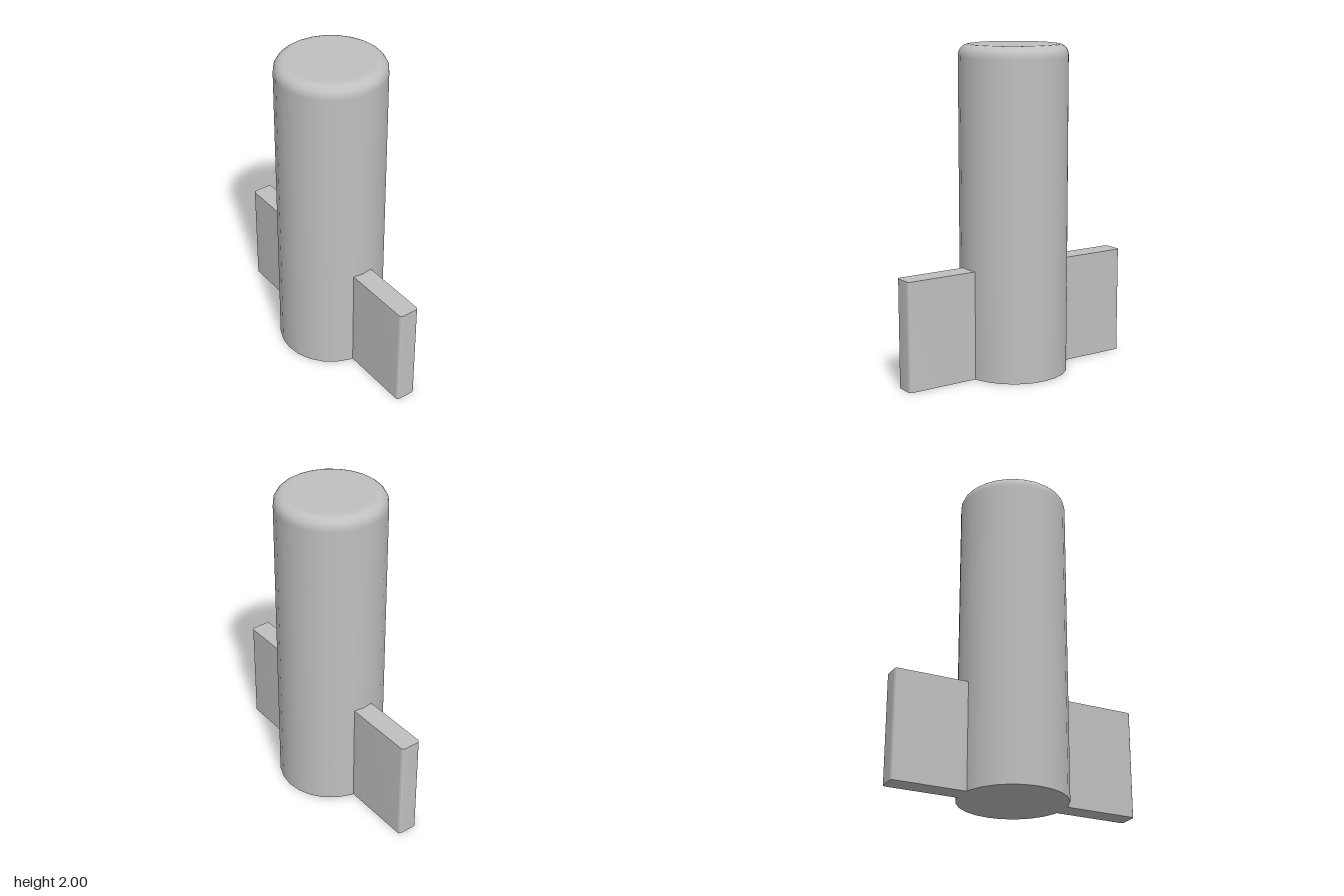
import * as THREE from 'three';
import { toCreasedNormals } from 'three/addons/utils/BufferGeometryUtils.js';

const RADIUS = 0.33, HEIGHT = 2, ROUND = 0.065, SIDES = 24;
const FIN_IN = 0.3, FIN_OUT = 0.777, FIN_HALF = 0.065, FIN_HEIGHT = 0.667, FIN_ROUND = 0.018;

export function createModel() {
  const group = new THREE.Group();
  const grey = new THREE.MeshStandardMaterial({ color: 0xc0c0c0 });
  grey.name = 'plain grey';

  const add = (name, geometry) => {
    const mesh = new THREE.Mesh(geometry, grey);
    mesh.name = name;
    group.add(mesh);
    return mesh;
  };

  // Column: straight wall, rounded shoulder, flat top
  const profile = [
    new THREE.Vector2(RADIUS, 0),
    new THREE.Vector2(RADIUS, HEIGHT - ROUND - 0.01),
  ];
  for (let i = 0; i <= 6; i++) {
    const a = (i / 6) * Math.PI / 2;
    profile.push(new THREE.Vector2(
      RADIUS - ROUND + ROUND * Math.cos(a),
      HEIGHT - ROUND + ROUND * Math.sin(a)));
  }
  profile.push(new THREE.Vector2(RADIUS - ROUND - 0.01, HEIGHT), new THREE.Vector2(0, HEIGHT));
  add('column', new THREE.LatheGeometry(profile, SIDES));

  // Flat underside of the column
  add('columnBase', new THREE.CircleGeometry(RADIUS, SIDES).rotateX(Math.PI / 2));

  // Side fins: plates with softened outer vertical edges
  const outline = new THREE.Shape();
  outline.moveTo(FIN_IN, -FIN_HALF);
  outline.lineTo(FIN_OUT - FIN_ROUND, -FIN_HALF);
  outline.absarc(FIN_OUT - FIN_ROUND, -FIN_HALF + FIN_ROUND, FIN_ROUND, -Math.PI / 2, 0, false);
  outline.absarc(FIN_OUT - FIN_ROUND, FIN_HALF - FIN_ROUND, FIN_ROUND, 0, Math.PI / 2, false);
  outline.lineTo(FIN_IN, FIN_HALF);
  outline.closePath();
  const plate = new THREE.ExtrudeGeometry(outline, { depth: FIN_HEIGHT, bevelEnabled: false, curveSegments: 4 });
  plate.rotateX(-Math.PI / 2);
  const fin = toCreasedNormals(plate, Math.PI / 5);
  add('leftFin', fin);
  add('rightFin', fin).rotation.y = Math.PI;

  return group;
}
